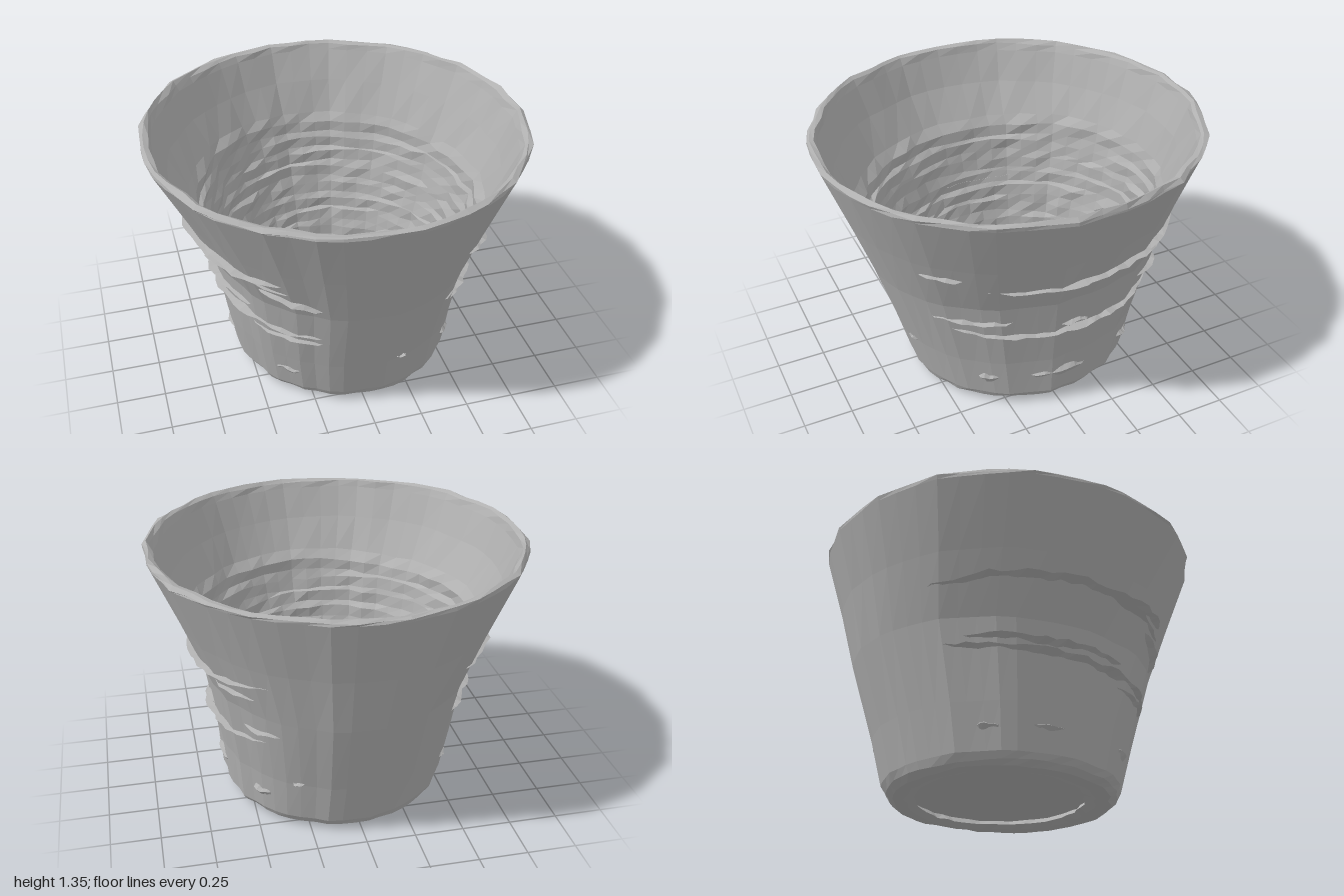
import * as THREE from 'three';

const clay = new THREE.MeshStandardMaterial({ color: 0xb0b0b0 });
clay.name = 'plain grey';

// Seeded noise in -1..1
let seed = 7;
const rnd = () => {
  seed = (seed * 16807) % 2147483647;
  return (seed / 2147483647) * 2 - 1;
};

const SEG = 52;
const TAU = Math.PI * 2;
// Irregular facets shared by the whole wall
const facet = Array.from({ length: SEG }, () => rnd() * 0.009);
const step = Array.from({ length: SEG }, () => rnd() * 0.03);

// Rows: height, centre x, centre z, radius x, radius z
const WALL = [
  [0.07, 0.03, -0.035, 0.585, 0.605],
  [0.3, 0.02, -0.035, 0.615, 0.667],
  [0.7, 0.02, -0.035, 0.675, 0.79],
  [1.0, 0.01, -0.02, 0.805, 0.88],
  [1.32, 0, -0.008, 0.952, 0.985],
];

const onRow = ([y, cx, cz, rx, rz], a, out = 0) =>
  [cx + Math.cos(a) * (rx + out), y, cz + Math.sin(a) * (rz + out)];

// Point on the outer wall at any height, pushed outward
function onWall(y, a, out) {
  let i = 0;
  while (i < WALL.length - 2 && y > WALL[i + 1][0]) i++;
  const t = (y - WALL[i][0]) / (WALL[i + 1][0] - WALL[i][0]);
  const row = WALL[i].map((v, k) => v + (WALL[i + 1][k] - v) * t);
  return onRow(row, a, out);
}

// Flat-faceted skin over rows of points
function loft(name, rows, closed) {
  const n = rows[0].length;
  const pos = [];
  const index = [];
  rows.forEach((r) => r.forEach((p) => pos.push(...p)));
  for (let i = 0; i < rows.length - 1; i++) {
    for (let j = 0; j < (closed ? n : n - 1); j++) {
      const k = (j + 1) % n;
      const a = i * n + j, b = i * n + k, c = a + n, d = b + n;
      index.push(a, c, b, b, c, d);
    }
  }
  let geo = new THREE.BufferGeometry();
  geo.setAttribute('position', new THREE.Float32BufferAttribute(pos, 3));
  geo.setIndex(index);
  geo = geo.toNonIndexed();
  geo.computeVertexNormals();
  const mesh = new THREE.Mesh(geo, clay);
  mesh.name = name;
  return mesh;
}

// Ring of points with radial and vertical unevenness
function ring(row, rough = 0, wave = 0, phase = 0) {
  return facet.map((f, j) => {
    const a = (j + step[j]) / SEG * TAU;
    const p = onRow(row, a, f + rnd() * rough);
    p[1] += wave * (Math.sin(2 * a + phase) + 0.6 * Math.sin(5 * a + phase * 2)) + rnd() * wave * 0.3;
    return p;
  });
}

// Tapered ridge following the outer wall; a0 < a1 in degrees
function ridge(name, a0, a1, height, tall, depth) {
  const N = Math.max(6, Math.round((a1 - a0) / 4));
  const sections = [[], [], []];
  for (let i = 0; i <= N; i++) {
    const t = i / N;
    const a = THREE.MathUtils.degToRad(a0 + (a1 - a0) * t);
    const taper = Math.sqrt(Math.sin(Math.PI * Math.min(1, Math.max(0, t))) + 1e-9);
    const y = height(t) + rnd() * 0.007;
    const h = tall * taper * (0.8 + 0.3 * rnd());
    sections[0].push(onWall(y - h, a, -0.015));
    sections[1].push(onWall(y, a, -0.012 + (depth + 0.012) * taper * (0.85 + 0.25 * rnd())));
    sections[2].push(onWall(y + h * 0.45, a, -0.015));
  }
  return loft(name, sections, false);
}

export function createModel() {
  const group = new THREE.Group();
  group.name = 'roughCup';

  // Rounded foot ring and its shallow recess
  group.add(loft('foot', [
    ring([0.055, 0.03, -0.05, 0.001, 0.001]).map(() => [0.02, 0.055, -0.05]),
    ring([0.055, 0.03, -0.05, 0.45, 0.46], 0.004),
    ring([0.025, 0.03, -0.045, 0.42, 0.43], 0.006, 0.003),
    ring([0.01, 0.03, -0.04, 0.47, 0.48], 0.006, 0.004),
    ring([0.012, 0.03, -0.035, 0.53, 0.55], 0.008, 0.004, 1),
    ring([0.035, 0.03, -0.035, 0.565, 0.585], 0.006, 0.004, 2),
    ring(WALL[0]),
  ], true));

  // Flaring outer wall
  group.add(loft('outerWall', WALL.map((r) => ring(r)), true));

  // Uneven lip
  group.add(loft('lip', [
    ring(WALL[4]),
    ring([1.335, 0, -0.008, 0.955, 0.985], 0.008, 0.005),
    ring([1.347, 0, -0.008, 0.935, 0.965], 0.008, 0.007, 1),
    ring([1.335, 0, -0.008, 0.915, 0.945], 0.006, 0.004, 2),
    ring([1.3, 0, -0.008, 0.9, 0.935]),
  ], true));

  // Smooth upper inside, then rough steps down to the floor
  const inner = [
    ring([1.3, 0, -0.008, 0.9, 0.935]),
    ring([1.14, 0, -0.01, 0.835, 0.875], 0.004),
    ring([0.97, 0.01, -0.02, 0.75, 0.805], 0.006, 0.01),
  ];
  const STEPS = 9;
  for (let i = 0; i < STEPS; i++) {
    const t = i / STEPS;
    const y = 0.92 - 0.8 * t;
    const rx = 0.715 - 0.21 * t, rz = 0.775 - 0.255 * t;
    const cz = -0.03 - 0.025 * t;
    inner.push(ring([y, 0.015, cz, rx, rz], 0.01, 0.012, i * 1.7));
    inner.push(ring([y - 0.06, 0.015, cz, rx - 0.006, rz - 0.006], 0.008, 0.01, i * 1.7));
  }
  inner.push(ring([0.1, 0.02, -0.055, 0.485, 0.505], 0.006, 0.004));
  inner.push(ring([0.075, 0.02, -0.055, 0.465, 0.485]));
  inner.push(facet.map(() => [0.02, 0.075, -0.05]));
  group.add(loft('innerWallAndFloor', inner, true));

  // Ridges around the +x side, lifting towards both ends
  const lift = (base, up) => (t) => base + up * Math.pow(Math.abs(2 * t - 1), 3);
  group.add(ridge('upperRidgeLeft', -58, 35, (t) => 0.84 + 0.08 * Math.pow(1 - t, 4), 0.025, 0.035));
  group.add(ridge('upperRidgeLeftEnd', 38, 56, () => 0.925, 0.035, 0.035));
  group.add(ridge('upperRidgeLeftLow', -48, -22, () => 0.805, 0.025, 0.025));
  group.add(ridge('upperRidgeLeftMid', -10, 14, () => 0.82, 0.025, 0.022));
  group.add(ridge('lowerRidgeLeft', -52, 54, lift(0.505, 0.05), 0.028, 0.035));
  group.add(ridge('lowerRidgeLeftFront', 22, 58, () => 0.605, 0.025, 0.035));
  group.add(ridge('lowerRidgeLeftBack', -56, -34, () => 0.605, 0.025, 0.035));
  group.add(ridge('lowerRidgeLeftMid', -8, 6, () => 0.54, 0.03, 0.025));

  // Ridges around the -x side, dropping towards the front
  group.add(ridge('upperRidgeRight', 122, 228, (t) => 0.84 + 0.06 * Math.sin(t * 3), 0.03, 0.05));
  group.add(ridge('upperRidgeRightTop', 124, 165, () => 0.91, 0.03, 0.045));
  group.add(ridge('upperRidgeRightFront', 112, 140, (t) => 0.75 + 0.08 * t, 0.06, 0.035));
  group.add(ridge('lowerRidgeRight', 112, 228, (t) => 0.525 + 0.05 * t, 0.035, 0.045));
  group.add(ridge('lowerRidgeRightTop', 145, 215, () => 0.61, 0.035, 0.05));
  group.add(ridge('lowerRidgeRightMid', 112, 150, () => 0.485, 0.03, 0.035));

  // Small chips low on the wall
  [[-12, 18, 0.2, 0.07], [-48, -35, 0.19, 0.08], [30, 42, 0.19, 0.08],
    [122, 140, 0.205, 0.085], [170, 190, 0.2, 0.06], [200, 212, 0.19, 0.05],
    [72, 79, 0.31, 0.015], [-64, -58, 0.31, 0.02]].forEach(([a0, a1, y, h], i) =>
    group.add(ridge('chip' + (i + 1), a0, a1, () => y, h, 0.022)));

  return group;
}
